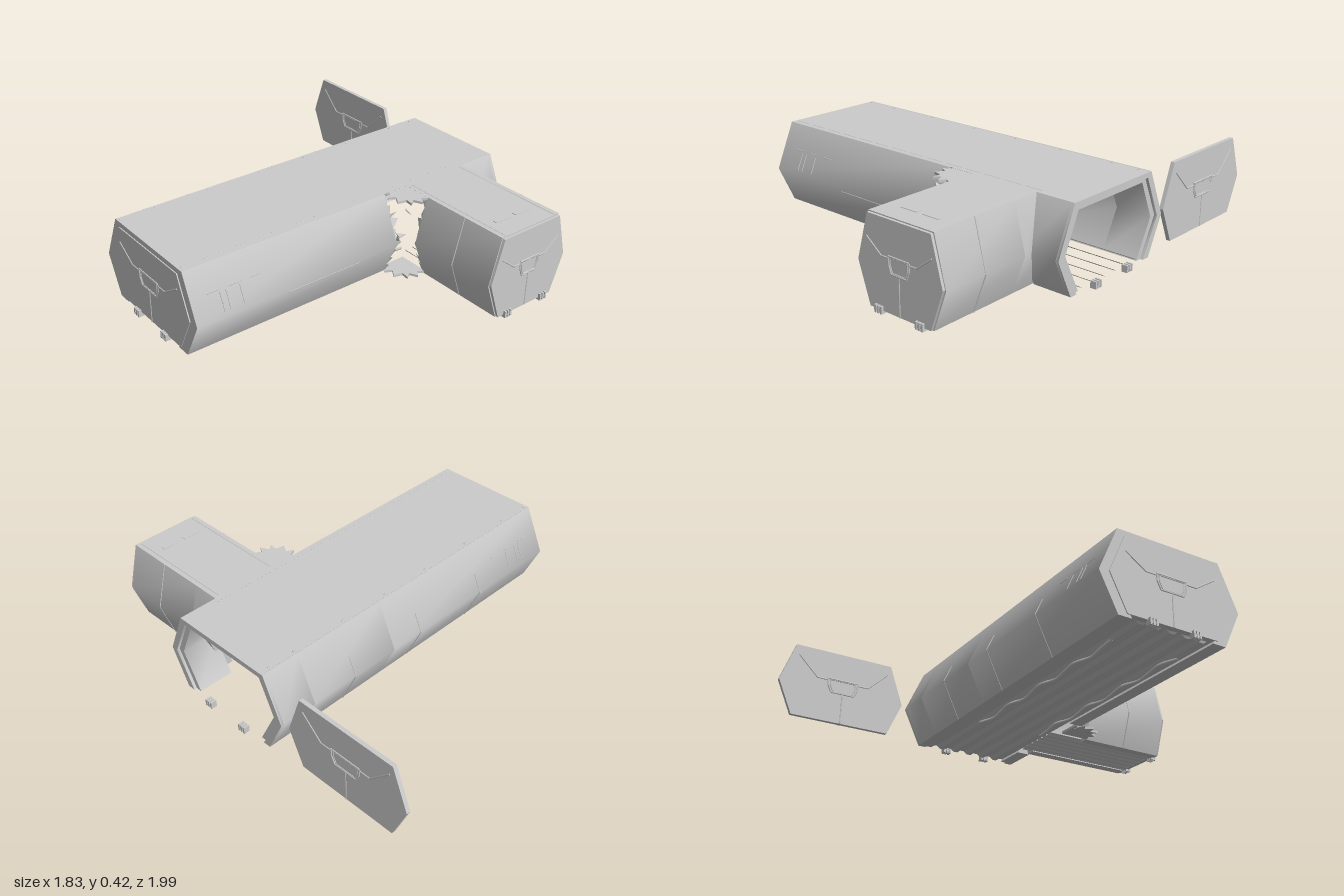
import * as THREE from 'three';
import { toCreasedNormals } from 'three/addons/utils/BufferGeometryUtils.js';

const mat = new THREE.MeshStandardMaterial({ color: 0xcccccc, side: THREE.DoubleSide });
const underMat = new THREE.MeshStandardMaterial({ color: 0xcccccc });
const V = (x, y, z) => new THREE.Vector3(x, y, z);
const Y0 = 0.015, YM = 0.2, Y1 = 0.425;

// half widths at roof, waist and foot (outer, inner) and height of the inner roof
const MAIN = { o: [0.275, 0.375, 0.285], i: [0.23, 0.31, 0.215], roof: 0.38 };
const RIM = { o: MAIN.o, i: [0.25, 0.342, 0.245], roof: 0.4 };
const SIDE = { o: [0.18, 0.24, 0.175], i: [0.145, 0.19, 0.125], roof: 0.38 };

let seed = 7;
const rnd = () => (seed = (seed * 16807) % 2147483647) / 2147483647;

function add(parent, geo, name, material = mat) {
  const m = new THREE.Mesh(geo, material);
  m.name = name;
  parent.add(m);
  return m;
}

function extrude(pts, depth, z = 0) {
  const s = new THREE.Shape(pts.map(p => new THREE.Vector2(p[0], p[1])));
  return new THREE.ExtrudeGeometry(s, { depth, bevelEnabled: false }).translate(0, 0, z);
}

// thin rod between two points
function bar(parent, a, b, w, name) {
  const dir = b.clone().sub(a);
  const m = add(parent, new THREE.CylinderGeometry(w / 2, w / 2, dir.length(), 6), name);
  m.position.copy(a).lerp(b, 0.5);
  m.quaternion.setFromUnitVectors(V(0, 1, 0), dir.normalize());
}

// hexagonal shell without floor, rounded in shading at the waist; torn = no wall on local -x
function shell(parent, d, z0, z1, torn, name) {
  const [t, w, f] = d.o, [it, iw, jf] = d.i;
  const half = [[t, Y1], [w, YM], [f, Y0], [jf, Y0], [iw, YM], [it, d.roof]];
  const other = torn ? [[-it, d.roof], [-t, Y1]] : half.map(p => [-p[0], p[1]]).reverse();
  add(parent, toCreasedNormals(extrude([...half, ...other], z1 - z0, z0), 1.0), name);
}

// point on the outer wall at a given height
function onWall(d, side, y, z, out = 0) {
  const [t, w, f] = d.o;
  const x = y > YM ? w + (t - w) * (y - YM) / (Y1 - YM) : f + (w - f) * (y - Y0) / (YM - Y0);
  return V(side * (x + out), y, z);
}

// torn triangular teeth along the broken edge of the -x wall
function teeth(parent, d, z, dir) {
  const pts = [], n = 8, h = (Y1 - Y0) / n;
  for (let i = 0; i < n; i++) {
    const y = Y0 + h * i;
    const tip = onWall(d, -1, y + h * rnd(), z + dir * (0.01 + 0.05 * rnd()), -0.03 * rnd());
    for (const p of [onWall(d, -1, y, z), tip, onWall(d, -1, y + h, z)]) pts.push(p.x, p.y, p.z);
  }
  const g = new THREE.BufferGeometry();
  g.setAttribute('position', new THREE.Float32BufferAttribute(pts, 3));
  g.computeVertexNormals();
  add(parent, g, 'tornEdge');
}

// hexagonal door facing local z, with raised hatch and braces on both faces
function door([t, w, f], y0, y1, h, end, thick, name) {
  const g = new THREE.Group();
  g.name = name;
  add(g, extrude([[t, y1], [-t, y1], [-w, YM + 0.005], [-f, y0], [f, y0], [w, YM + 0.005]], thick, -thick / 2), 'doorPanel');
  for (const s of [-1, 1]) {
    const P = (x, y) => V(x, y, s * thick / 2);
    for (const [k, r] of [[1, 0.009], [0.84, 0.006]]) {
      const loop = [[-1, 0.037], [1, 0.037], [0.97, 0], [0.75, -0.037], [-0.75, -0.037], [-0.97, 0]]
        .map(p => P(p[0] * h * k, 0.229 + p[1] * k));
      loop.forEach((p, i) => bar(g, p, loop[(i + 1) % 6], r, 'hatchRim'));
    }
    for (const m of [-1, 1]) {
      bar(g, P(m * h, 0.257), P(m * h * 1.7, 0.257), 0.008, 'doorBrace');
      bar(g, P(m * h * 1.7, 0.257), P(m * end[0], end[1]), 0.008, 'doorBrace');
    }
    bar(g, P(0, y0), P(0, 0.19), 0.007, 'doorSeam');
  }
  return g;
}

// ribbed underside, seen only from below
function underside(parent, halfWidth, z0, z1) {
  const n = 22;
  const g = new THREE.PlaneGeometry(halfWidth * 2, z1 - z0, n, 1).rotateX(Math.PI / 2);
  const p = g.attributes.position;
  for (let i = 0; i < p.count; i++) p.setY(i, Math.floor((i % (n + 1)) / 2) % 2 ? 0.016 : 0.03);
  g.translate(0, 0, (z0 + z1) / 2);
  add(parent, toCreasedNormals(g, 0.3), 'ribbedUnderside', underMat);
}

// slotted coupling block at a corridor end
function coupling(parent, x, z) {
  for (const o of [-0.016, 0, 0.016]) {
    const b = add(parent, new THREE.BoxGeometry(0.01, 0.034, 0.03), 'couplingFin');
    b.position.set(x + o, 0.022, z);
  }
  add(parent, new THREE.BoxGeometry(0.042, 0.012, 0.024), 'couplingBase').position.set(x, 0.02, z);
}

export function createModel() {
  const model = new THREE.Group();
  model.name = 'corridorModule';

  // main corridor, local z runs along world x, local -x is the front
  const main = new THREE.Group();
  main.name = 'mainCorridor';
  main.position.z = 0.085;
  main.rotation.y = Math.PI / 2;
  model.add(main);
  shell(main, MAIN, -0.895, 0.2, false, 'mainShell');
  shell(main, MAIN, 0.2, 0.7, true, 'junctionShell');
  shell(main, MAIN, 0.7, 0.88, false, 'endShell');
  shell(main, RIM, 0.88, 0.895, false, 'endRim');
  teeth(main, MAIN, 0.2, 1);
  const endDoor = door([0.24, 0.325, 0.24], 0.03, 0.4, 0.08, [0.24, 0.325], 0.03, 'endDoor');
  endDoor.position.z = -0.885;
  main.add(endDoor);
  underside(main, 0.222, -0.87, 0.88);
  for (const z of [-0.9, 0.9]) for (const x of [-0.115, 0.115]) coupling(main, x, z);

  // wall panel seams, roof seams and clips
  for (const z of [-0.41, 0.02, 0.45])
    for (const [a, b] of [[Y0, YM], [YM, 0.29]])
      bar(main, onWall(MAIN, 1, a, z), onWall(MAIN, 1, b, z), 0.006, 'wallSeam');
  const roofY = Y1 - 0.0005;
  for (let z = -0.88; z < 0.64; z += 0.115)
    bar(main, V(-0.245, roofY, z), V(-0.245, roofY, z + 0.09), 0.005, 'roofSeam');
  bar(main, V(0.272, roofY, -0.89), V(0.272, roofY, 0.89), 0.004, 'roofSeam');
  for (const z of [-0.88, -0.7, -0.42, -0.13, 0.14, 0.41, 0.7, 0.84])
    bar(main, V(0.255, roofY, z - 0.006), V(0.255, roofY, z + 0.006), 0.008, 'roofClip');
  bar(main, onWall(MAIN, -1, 0.185, -0.42), onWall(MAIN, -1, 0.185, -0.02), 0.006, 'handRail');
  for (const s of [-1, 1]) for (const z of [-0.75, -0.72, -0.65])
    bar(main, onWall(MAIN, s, 0.22, z), onWall(MAIN, s, 0.3, z), 0.005, 'ventLine');
  for (const s of [-1, 1]) for (const z of [-0.81, -0.7, -0.6])
    bar(main, onWall(MAIN, s, 0.31, z), onWall(MAIN, s, 0.31, z + 0.06), 0.005, 'ventLine');

  // loose cables under the corridor
  for (const s of [-1, 1]) {
    const path = [];
    for (let i = 0; i <= 12; i++)
      path.push(V(s * 0.165 + 0.015 * Math.sin(i * 2.1 + s), 0.012, -0.7 + i * 0.093));
    add(main, new THREE.TubeGeometry(new THREE.CatmullRomCurve3(path), 64, 0.007, 5), 'floorCable');
  }

  // side branch, local z is world z
  const branch = new THREE.Group();
  branch.name = 'sideBranch';
  branch.position.x = 0.5175;
  model.add(branch);
  shell(branch, SIDE, 0.36, 0.5, true, 'branchJunction');
  shell(branch, SIDE, 0.5, 0.965, false, 'branchShell');
  teeth(branch, SIDE, 0.5, -1);
  const branchDoor = door([0.175, 0.235, 0.17], 0.018, 0.42, 0.058, [0.18, 0.32], 0.022, 'branchDoor');
  branchDoor.position.z = 0.967;
  branch.add(branchDoor);
  underside(branch, 0.13, 0.3, 0.96);
  for (const s of [-1, 1]) {
    coupling(branch, s * 0.115, 0.975);
    bar(branch, V(s * 0.155, roofY, 0.37), V(s * 0.155, roofY, 0.96), 0.005, 'branchRoofSeam');
    for (const [a, b] of [[Y0, YM], [YM, Y1]])
      bar(branch, onWall(SIDE, s, a, 0.74), onWall(SIDE, s, b, 0.74), 0.006, 'branchWallSeam');
    const plate = add(branch, new THREE.BoxGeometry(0.09, 0.004, 0.025), 'roofPlate');
    plate.position.set(s * 0.06, Y1, 0.85);
  }

  // torn roof and floor corners between corridor and branch
  const jagged = [[0.345, 0.35], [0.345, 0.51], [0.31, 0.49], [0.29, 0.52], [0.27, 0.48],
    [0.24, 0.5], [0.245, 0.46], [0.2, 0.45], [0.225, 0.41], [0.19, 0.39], [0.23, 0.37], [0.21, 0.35]];
  for (const [y, name] of [[Y1 - 0.001, 'tornRoof'], [0.03, 'tornFloor']]) {
    const torn = add(model, extrude(jagged, 0.012), name);
    torn.rotation.x = Math.PI / 2;
    torn.position.y = y;
  }

  // bent shards around the break
  for (let i = 0; i < 9; i++) {
    const s = 0.02 + 0.02 * rnd();
    const shard = add(model, extrude([[0, 0], [s * 1.6, s * 0.3], [s * 0.6, s]], 0.005), 'shard');
    shard.position.set(0.19 + 0.08 * rnd(), 0.05 + i * 0.038, 0.3 + 0.16 * rnd());
    shard.rotation.set(rnd() * 2, rnd() * 3, rnd() * 0.8);
  }

  // detached door standing behind the open end
  const loose = door([0.2625, 0.3375, 0.26], 0.03, 0.412, 0.082, [0.245, 0.36], 0.02, 'detachedDoor');
  loose.position.set(0.872, 0, -0.6625);
  loose.rotation.y = Math.PI / 2;
  model.add(loose);

  return model;
}
